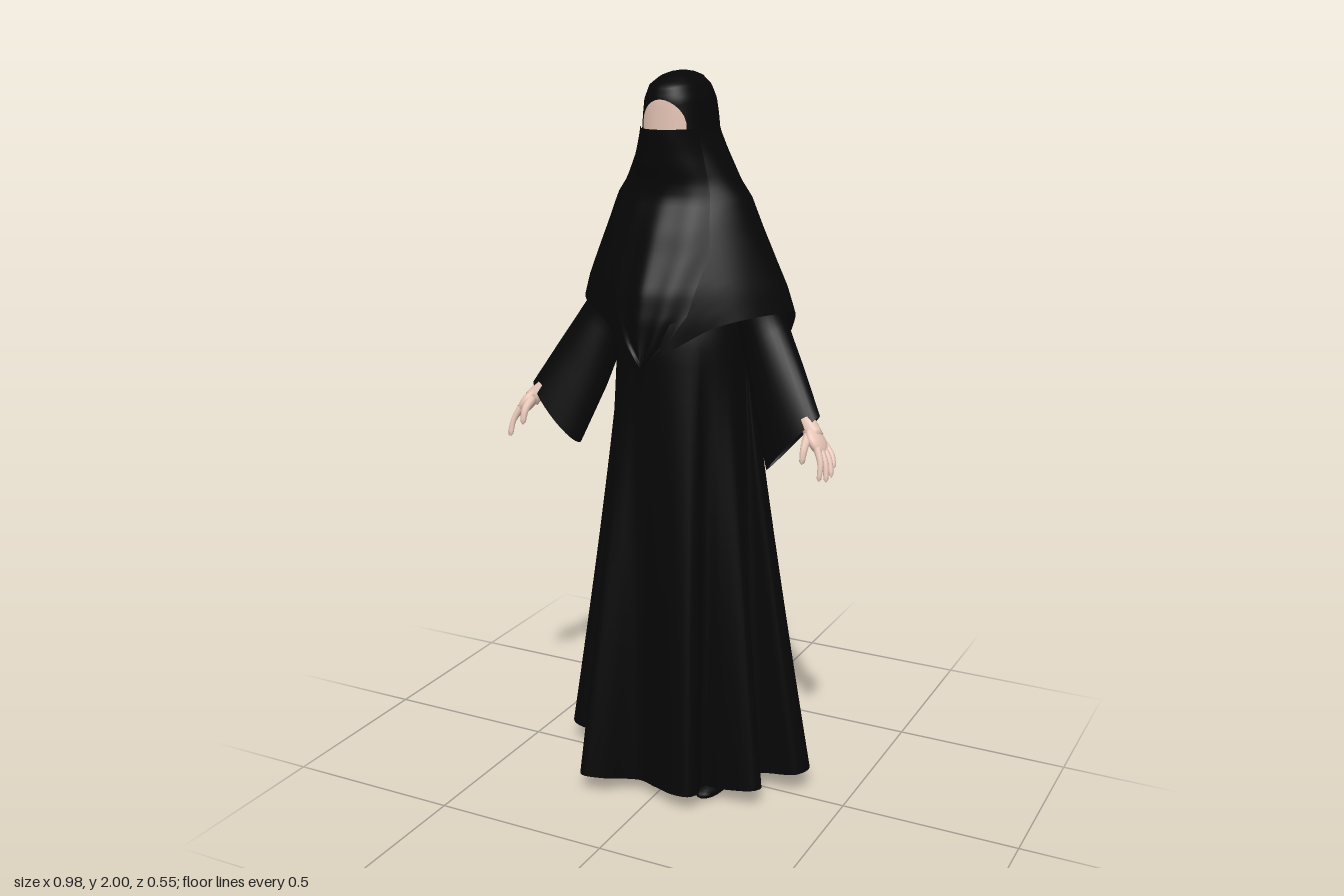
import * as THREE from 'three';

const cloth = new THREE.MeshStandardMaterial({ color: 0x060606, side: THREE.DoubleSide });
cloth.name = 'blackCloth';
const skin = new THREE.MeshStandardMaterial({ color: 0xeecdbd, side: THREE.DoubleSide });
skin.name = 'skin';

// Grid surface from fn(u, v) -> [x, y, z]; u may wrap around
function surface(nu, nv, fn, wrap = false) {
  const pos = [], idx = [], cols = wrap ? nu : nu + 1;
  for (let j = 0; j <= nv; j++)
    for (let i = 0; i < cols; i++) pos.push(...fn(i / nu, j / nv));
  for (let j = 0; j < nv; j++)
    for (let i = 0; i < nu; i++) {
      const a = j * cols + i, b = j * cols + ((i + 1) % cols), c = a + cols, d = b + cols;
      idx.push(a, c, b, b, c, d);
    }
  const g = new THREE.BufferGeometry();
  g.setAttribute('position', new THREE.Float32BufferAttribute(pos, 3));
  g.setIndex(idx);
  g.computeVertexNormals();
  return g;
}

function add(parent, name, geo, mat) {
  const m = new THREE.Mesh(geo, mat);
  m.name = name;
  parent.add(m);
  return m;
}

const { lerp, smoothstep } = THREE.MathUtils;

// Interpolate rows [key, ...values] sorted by falling key
function sample(table, y) {
  let i = 0;
  while (i < table.length - 2 && table[i + 1][0] > y) i++;
  const a = table[i], b = table[i + 1];
  const t = THREE.MathUtils.clamp((a[0] - y) / (a[0] - b[0]), 0, 1);
  return a.slice(1).map((v, k) => lerp(v, b[k + 1], t));
}

// Veil sections: height, half width, front z, back z, side z, roundness of front and back
const veilRows = [
  [2, 0, 0.01, 0.01, 0.01, 2.3, 2.3], [1.997, 0.023, 0.035, -0.03, 0.01, 2.3, 2.3],
  [1.987, 0.048, 0.075, -0.055, 0.01, 2.3, 2.3], [1.965, 0.071, 0.115, -0.073, 0.01, 2.3, 2.3],
  [1.93, 0.085, 0.126, -0.086, 0.01, 2.3, 2.3], [1.89, 0.091, 0.124, -0.092, 0.01, 2.3, 2.3],
  [1.85, 0.095, 0.122, -0.095, 0.01, 2.3, 2.3], [1.8, 0.117, 0.115, -0.1, 0.005, 2.2, 2.3],
  [1.72, 0.158, 0.107, -0.113, 0, 2.0, 2.2], [1.68, 0.188, 0.115, -0.118, -0.005, 1.9, 2.1],
  [1.6, 0.222, 0.157, -0.13, -0.01, 1.7, 2.0], [1.45, 0.29, 0.22, -0.153, -0.02, 1.5, 1.9],
  [1.38, 0.312, 0.23, -0.166, -0.025, 1.5, 1.85], [1.28, 0.315, 0.232, -0.182, -0.03, 1.5, 1.8],
  [1.1, 0.31, 0.234, -0.215, -0.03, 1.5, 1.8],
];

function veilFrontZ(x, y) {
  const [hw, zf, , mid, n] = sample(veilRows, y);
  const q = Math.min(1, Math.abs(x) / hw);
  return mid + (zf - mid) * Math.pow(1 - Math.pow(q, n), 1 / n);
}

function veilPoint(u, v) {
  const a = u * Math.PI * 2, s = Math.sin(a), c = Math.cos(a);
  const hem = 1.39 - (c > 0 ? 0.115 * Math.pow(c, 6) : 0.265 * Math.pow(-c, 1.7));
  const y = 2 - (2 - hem) * Math.pow(v, 1.6);
  const [hw, zf, zb, mid, nf, nb] = sample(veilRows, y), n = c > 0 ? nf : nb;
  const fold = 1 - 0.03 * Math.cos(10 * a) * c * c * smoothstep(1.65 - y, 0, 0.3);
  const px = Math.sign(s) * Math.pow(Math.abs(s), 2 / n) * hw;
  const pz = Math.pow(Math.abs(c), 2 / n) * ((c > 0 ? zf : zb) - mid);
  return [px * fold, y, mid + pz * fold];
}

// Face veil: a hanging panel that narrows to a point on the chest
const bibRows = [[1.86, 0.082, 0.03], [1.76, 0.105, 0.022], [1.69, 0.12, 0.008],
  [1.55, 0.14, 0], [1.4, 0.11, 0], [1.32, 0.06, 0], [1.262, 0.004, 0]];
function bibPoint(u, v) {
  const y = lerp(1.86, 1.262, v), [w, bump] = sample(bibRows, y);
  const k = u * 2 - 1, x = k * w;
  return [x, y, veilFrontZ(x, y) + 0.008 + bump * (1 - k * k) + 0.004 * Math.sin(k * 9 + v * 4) * v];
}

// Visible face between brow and face veil
function facePoint(u, v) {
  const k = u * 2 - 1, x = k * 0.062;
  const top = 1.872 + 0.06 * Math.pow(1 - k * k, 0.6);
  const y = lerp(1.845, top, v);
  return [x, y, veilFrontZ(x, y) + 0.005];
}

// Robe hem outline (x, z), with deep folds
const hemCurve = new THREE.CatmullRomCurve3([
  [0.08, 0.235], [0.13, 0.235], [0.145, 0.205], [0.13, 0.14], [0.2, 0.145], [0.285, 0.135], [0.298, 0.11],
  [0.27, 0.085], [0.2, 0.055], [0.25, 0.015], [0.36, 0.01], [0.382, -0.035], [0.34, -0.087], [0.24, -0.08],
  [0.19, -0.14], [0.25, -0.24], [0.225, -0.274], [0.17, -0.245], [0.1, -0.17], [0, -0.195],
  [-0.1, -0.17], [-0.17, -0.245], [-0.225, -0.274], [-0.25, -0.24], [-0.19, -0.14], [-0.24, -0.08],
  [-0.34, -0.087], [-0.382, -0.035], [-0.36, 0.01], [-0.25, 0.015], [-0.2, 0.05], [-0.228, 0.075],
  [-0.19, 0.1], [-0.215, 0.155], [-0.19, 0.172], [-0.1, 0.155], [-0.14, 0.2], [-0.2, 0.25],
  [-0.185, 0.272], [-0.13, 0.25], [-0.05, 0.19], [0.02, 0.21],
].map(([x, z]) => new THREE.Vector3(x, 0, z)), true);

function robePoint(u, v) {
  const h = hemCurve.getPoint(u), a = Math.atan2(h.x, h.z);
  const hemY = 0.04 + 0.17 * Math.max(0, Math.hypot(h.x, h.z) - 0.2);
  const y = lerp(1.55, hemY, v);
  const t = Math.pow(Math.max(0, (1.32 - y) / (1.32 - hemY)), 1.12);
  // The bodice narrows towards the shoulders so that it stays under the veil
  const slim = lerp(1, 0.75, smoothstep(y, 1.3, 1.5));
  const wx = 0.185 * Math.sin(a) * slim, wz = (Math.cos(a) > 0 ? 0.162 : 0.15) * Math.cos(a) * slim;
  return [lerp(wx, h.x, t), y, lerp(wz, h.z, t)];
}

// Sleeve rings: t key, centre xyz, slanted half axis xy, depth half axis
const sleeveRows = [[1, 0.13, 1.62, -0.005, 0.045, 0.03, 0.05], [0.5, 0.235, 1.335, -0.005, 0.055, 0.045, 0.06],
  [0.25, 0.293, 1.2, 0.033, 0.066, 0.065, 0.052], [0, 0.357, 1.062, 0.076, 0.072, 0.082, 0.043]];
function sleevePoint(u, v) {
  const [x, y, z, ax, ay, d] = sample(sleeveRows, 1 - v), a = u * Math.PI * 2;
  return [x + ax * Math.cos(a), y + ay * Math.cos(a), z + d * Math.sin(a)];
}

// Tapered limb along three points with a rounded tip
function finger(points, r0, r1) {
  const curve = new THREE.CatmullRomCurve3(points.map(p => new THREE.Vector3(...p)));
  const frames = curve.computeFrenetFrames(10);
  return surface(8, 10, (u, v) => {
    const i = Math.round(v * 10), r = i === 10 ? 0 : lerp(r0, r1, v), a = -u * Math.PI * 2;
    return curve.getPointAt(v)
      .addScaledVector(frames.normals[i], r * Math.cos(a))
      .addScaledVector(frames.binormals[i], r * Math.sin(a)).toArray();
  }, true);
}

function makeHand() {
  const hand = new THREE.Group();
  hand.name = 'hand';
  add(hand, 'wrist', finger([[0.36, 1.17, 0.066], [0.4, 1.125, 0.084], [0.435, 1.085, 0.102]], 0.022, 0.024), skin);
  const palm = add(hand, 'palm', new THREE.SphereGeometry(1, 16, 12), skin);
  palm.scale.set(0.018, 0.042, 0.036);
  palm.position.set(0.435, 1.085, 0.104);
  palm.rotation.z = 0.6;
  const tips = [[0.463, 0.994, 0.156], [0.478, 0.99, 0.143], [0.486, 1.0, 0.126], [0.486, 1.02, 0.108]];
  tips.forEach((tip, i) => {
    const root = [0.445, 1.075, 0.128 - i * 0.016];
    const knuckle = [lerp(root[0], tip[0], 0.5) + 0.007, lerp(root[1], tip[1], 0.45), lerp(root[2], tip[2], 0.5)];
    add(hand, 'finger', finger([root, knuckle, tip], 0.0105, 0.006), skin);
  });
  add(hand, 'thumb', finger([[0.415, 1.1, 0.115], [0.418, 1.075, 0.148], [0.418, 1.035, 0.163]], 0.014, 0.007), skin);
  return hand;
}

function makeSide(side) {
  const g = new THREE.Group();
  g.name = side > 0 ? 'leftSide' : 'rightSide';
  add(g, 'sleeve', surface(28, 24, sleevePoint, true), cloth);
  g.add(makeHand());
  add(g, 'leg', new THREE.CylinderGeometry(0.07, 0.035, 0.8, 14), cloth).position.set(0.125, 0.43, 0);
  // Shoe: flattened sole, domed upper
  const shoe = new THREE.SphereGeometry(1, 20, 14);
  const p = shoe.attributes.position;
  for (let i = 0; i < p.count; i++) {
    const y = p.getY(i), z = p.getZ(i);
    p.setXYZ(i, 0.135 + p.getX(i) * (0.036 + 0.006 * z), Math.max(0, 0.022 + y * (0.034 - 0.01 * z)), 0.058 + z * 0.112);
  }
  shoe.computeVertexNormals();
  add(g, 'shoe', shoe, cloth);
  g.scale.x = side;
  return g;
}

export function createModel() {
  const model = new THREE.Group();
  model.name = 'veiledFigure';
  add(model, 'robe', surface(210, 30, robePoint, true), cloth);
  add(model, 'veil', surface(96, 48, veilPoint, true), cloth);
  add(model, 'faceVeil', surface(28, 40, bibPoint), cloth);
  add(model, 'face', surface(24, 10, facePoint), skin);
  for (const side of [1, -1]) model.add(makeSide(side));
  return model;
}
